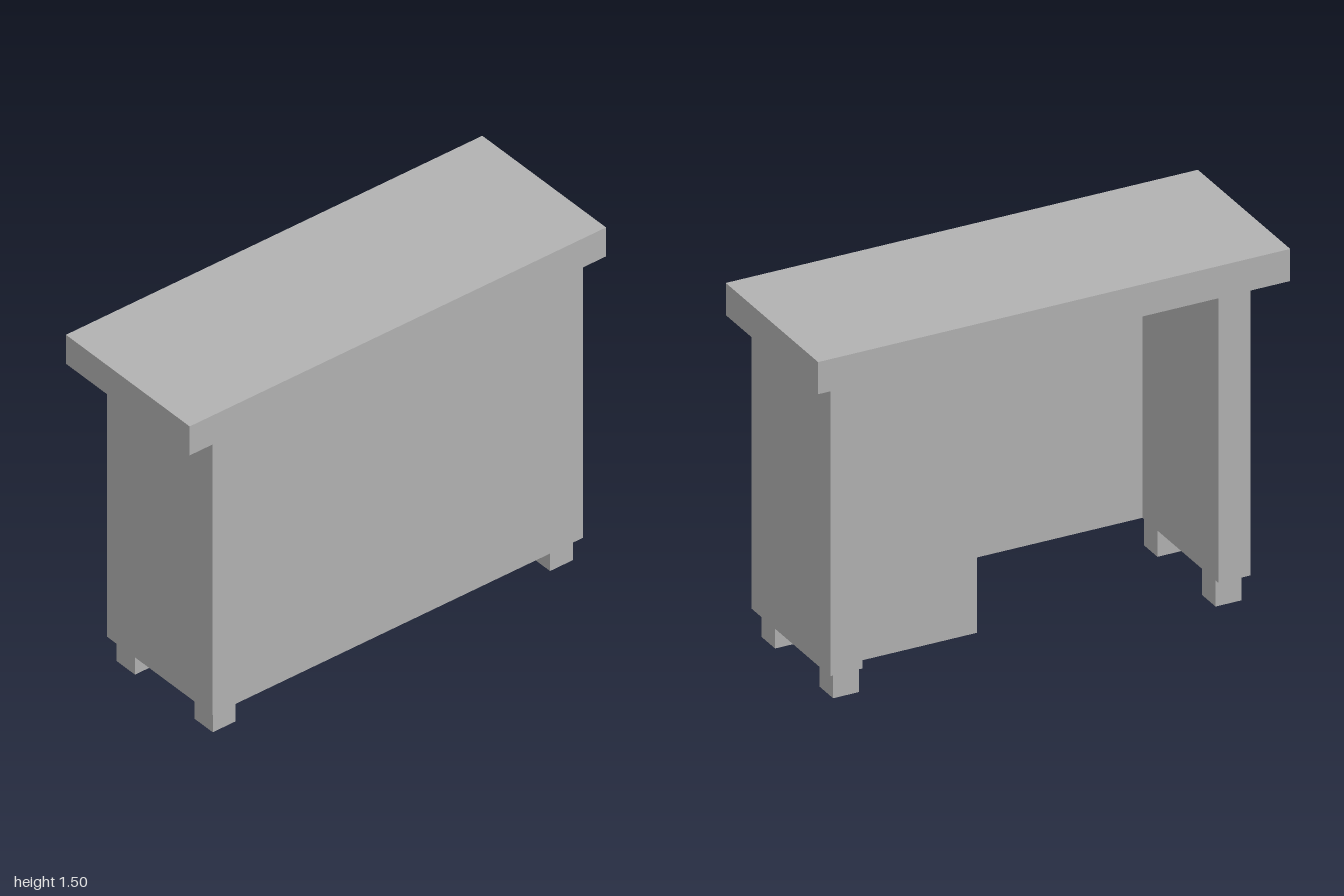
import * as THREE from 'three';

const grey = new THREE.MeshStandardMaterial({ color: 0xb2b2b2, side: THREE.DoubleSide, flatShading: true });
grey.name = 'grey';

// Box given by its lowest and highest corners
function block(name, [x0, y0, z0], [x1, y1, z1]) {
  const geometry = new THREE.BoxGeometry(x1 - x0, y1 - y0, z1 - z0);
  geometry.translate((x0 + x1) / 2, (y0 + y1) / 2, (z0 + z1) / 2);
  const mesh = new THREE.Mesh(geometry, grey);
  mesh.name = name;
  return mesh;
}

export function createModel() {
  const desk = new THREE.Group();
  desk.name = 'desk';

  const base = 0.11, under = 1.37, top = 1.505;

  // Slab top, overhanging the seat side and both ends
  desk.add(block('desktop', [-0.37, under, -1], [0.37, top, 1]));

  // Thin panel closing the far side
  desk.add(block('backPanel', [0.35, base, -0.89], [0.37, under, 0.89]));

  // Thick end panels
  desk.add(block('endPanelRear', [-0.26, base, -0.89], [0.35, under, -0.755]));
  desk.add(block('endPanelFront', [-0.26, base, 0.755], [0.35, under, 0.89]));

  // Cabinet at one end, set back from the panel edge
  desk.add(block('cabinet', [-0.2, base, -0.755], [0.35, under, -0.237]));

  // Square hollow feet, open at the bottom
  const footGeometry = new THREE.CylinderGeometry(0.11 / Math.SQRT2, 0.11 / Math.SQRT2, base, 4, 1, true);
  footGeometry.rotateY(Math.PI / 4);
  for (const x of [-0.18, 0.285]) {
    for (const z of [-0.81, 0.81]) {
      const foot = new THREE.Mesh(footGeometry, grey);
      foot.name = 'foot';
      foot.position.set(x, base / 2, z);
      desk.add(foot);
    }
  }

  return desk;
}
